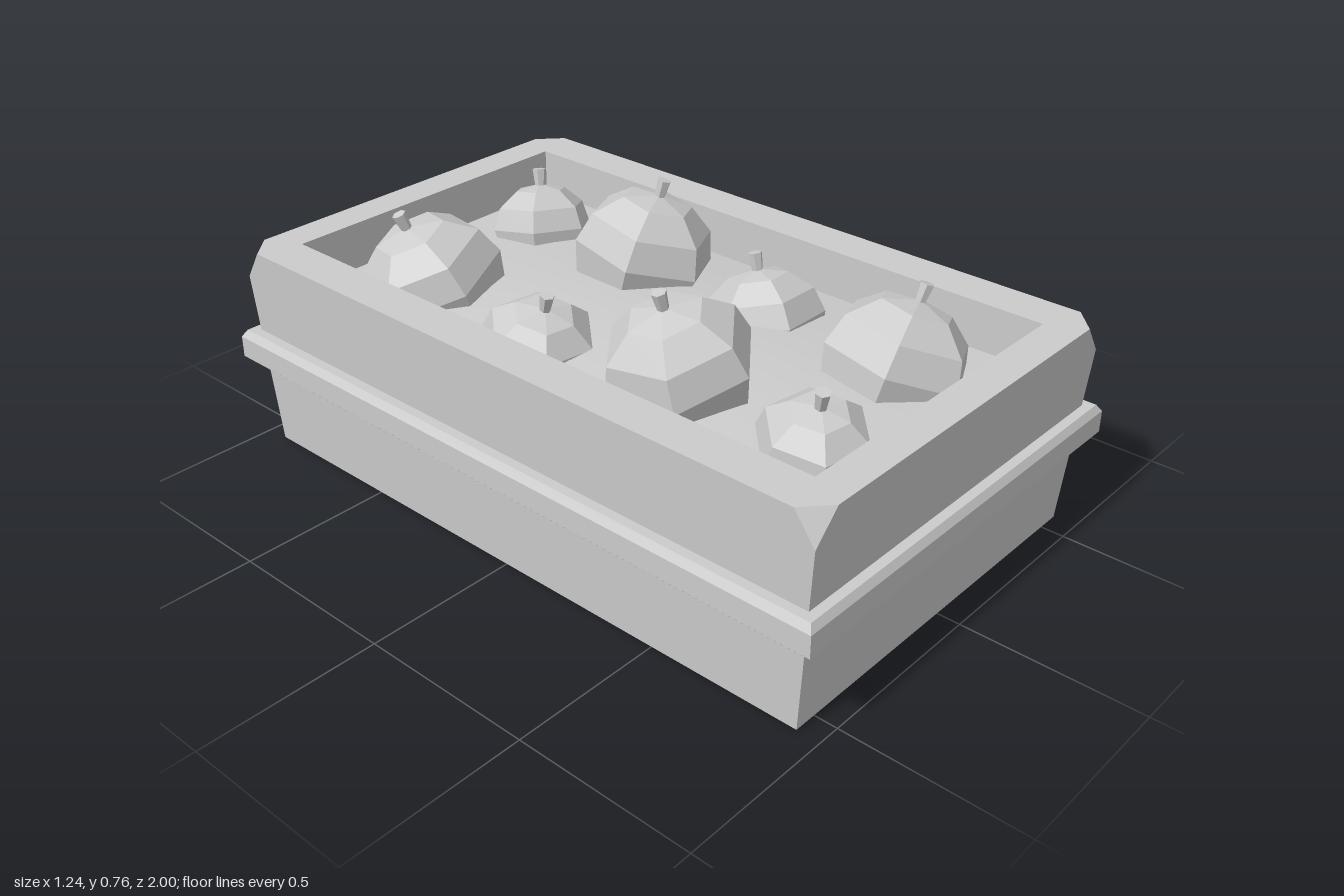
import * as THREE from 'three';

const mat = new THREE.MeshStandardMaterial({ color: 0xcccccc, flatShading: true, side: THREE.DoubleSide });
const smoothMat = new THREE.MeshStandardMaterial({ color: 0xcccccc, side: THREE.DoubleSide });

// Rectangular loop mirrored from one corner; corner is a list of [x, z] from the +x side to the +z side
function loop(y, corner) {
  const pts = [];
  for (const [sx, sz] of [[1, 1], [-1, 1], [-1, -1], [1, -1]]) {
    const c = sx * sz > 0 ? corner : [...corner].reverse();
    for (const [x, z] of c) pts.push(new THREE.Vector3(sx * x, y, sz * z));
  }
  return pts;
}

// Skin a sequence of loops, leaving out collapsed triangles
function skin(loops) {
  const pos = [];
  const tri = (a, b, c) => {
    if (a.equals(b) || b.equals(c) || a.equals(c)) return;
    for (const v of [a, b, c]) pos.push(v.x, v.y, v.z);
  };
  for (let k = 0; k < loops.length - 1; k++) {
    const p = loops[k], q = loops[k + 1];
    for (let i = 0; i < p.length; i++) {
      const j = (i + 1) % p.length;
      tri(p[j], p[i], q[i]);
      tri(p[j], q[i], q[j]);
    }
  }
  const g = new THREE.BufferGeometry();
  g.setAttribute('position', new THREE.Float32BufferAttribute(pos, 3));
  g.computeVertexNormals();
  return g;
}

function part(name, geometry, material = mat) {
  const m = new THREE.Mesh(geometry, material);
  m.name = name;
  return m;
}

// Low-poly pumpkin with an open base, centred at (cx, cy, cz), leaning so that its top sits over (sx, sz)
function pumpkin(cx, cy, cz, sx, sz, radius, angle) {
  const h = radius * 0.83;
  const g = new THREE.Group();
  g.name = 'pumpkin';
  const profile = [[0.87, -0.55], [1, 0], [0.87, 0.5], [0.5, 0.87], [0, 1]]
    .map(([r, y]) => new THREE.Vector2(r * radius, y * h));
  const start = Math.PI / 2 - THREE.MathUtils.degToRad(angle);
  g.add(part('pumpkinBody', new THREE.LatheGeometry(profile, 6, start)));
  const stem = part('pumpkinStem', new THREE.CylinderGeometry(0.02, 0.014, 0.06, 6));
  stem.position.y = h + 0.015;
  g.add(stem);
  g.position.set(cx, cy, cz);
  const lean = new THREE.Vector3(sx - cx, h, sz - cz).normalize();
  g.quaternion.setFromUnitVectors(new THREE.Vector3(0, 1, 0), lean);
  return g;
}

export function createModel() {
  const model = new THREE.Group();
  model.name = 'pumpkinPlanter';

  // Tapered crate: outer wall, rim with clipped corners, inner wall; open below
  const square = (x, z) => [[x, z], [x, z]];
  model.add(part('crateFrame', skin([
    loop(0, square(0.565, 0.935)),
    loop(0.515, square(0.588, 0.974)),
    loop(0.6, [[0.592, 0.917], [0.523, 0.98]]),
    loop(0.6, square(0.47, 0.88)),
    loop(0.11, square(0.47, 0.88)),
  ])));

  // Bevelled band around the outside
  model.add(part('band', skin([
    [0.25, 0.57, 0.95], [0.25, 0.604, 0.982], [0.268, 0.622, 1],
    [0.33, 0.622, 1], [0.35, 0.608, 0.988], [0.35, 0.57, 0.95],
  ].map(([y, x, z]) => loop(y, [[x, z]])))));

  // Soil, heaped in the middle
  const soil = new THREE.PlaneGeometry(0.94, 1.76, 6, 10).rotateX(-Math.PI / 2);
  const p = soil.attributes.position;
  for (let i = 0; i < p.count; i++) {
    const x = p.getX(i) / 0.47, z = p.getZ(i) / 0.88;
    p.setY(i, 0.465 + 0.05 * Math.cos(x * Math.PI / 2) * Math.cos(z * Math.PI / 2));
  }
  soil.computeVertexNormals();
  model.add(part('soil', soil, smoothMat));

  // Pumpkins: centre x, y, z, top x, z, radius, turn
  for (const row of [
    [-0.23, 0.5, -0.62, -0.29, -0.655, 0.204, -76],
    [0.235, 0.49, -0.66, 0.255, -0.685, 0.15, -96],
    [-0.285, 0.465, -0.145, -0.295, -0.105, 0.166, -110],
    [0.215, 0.55, -0.23, 0.25, -0.2, 0.203, -87],
    [0.245, 0.465, 0.18, 0.25, 0.145, 0.165, -63],
    [-0.22, 0.55, 0.28, -0.265, 0.265, 0.205, -97],
    [-0.225, 0.49, 0.7, -0.243, 0.725, 0.15, -106],
    [0.225, 0.5, 0.615, 0.285, 0.64, 0.203, -84],
  ]) model.add(pumpkin(...row));

  return model;
}
